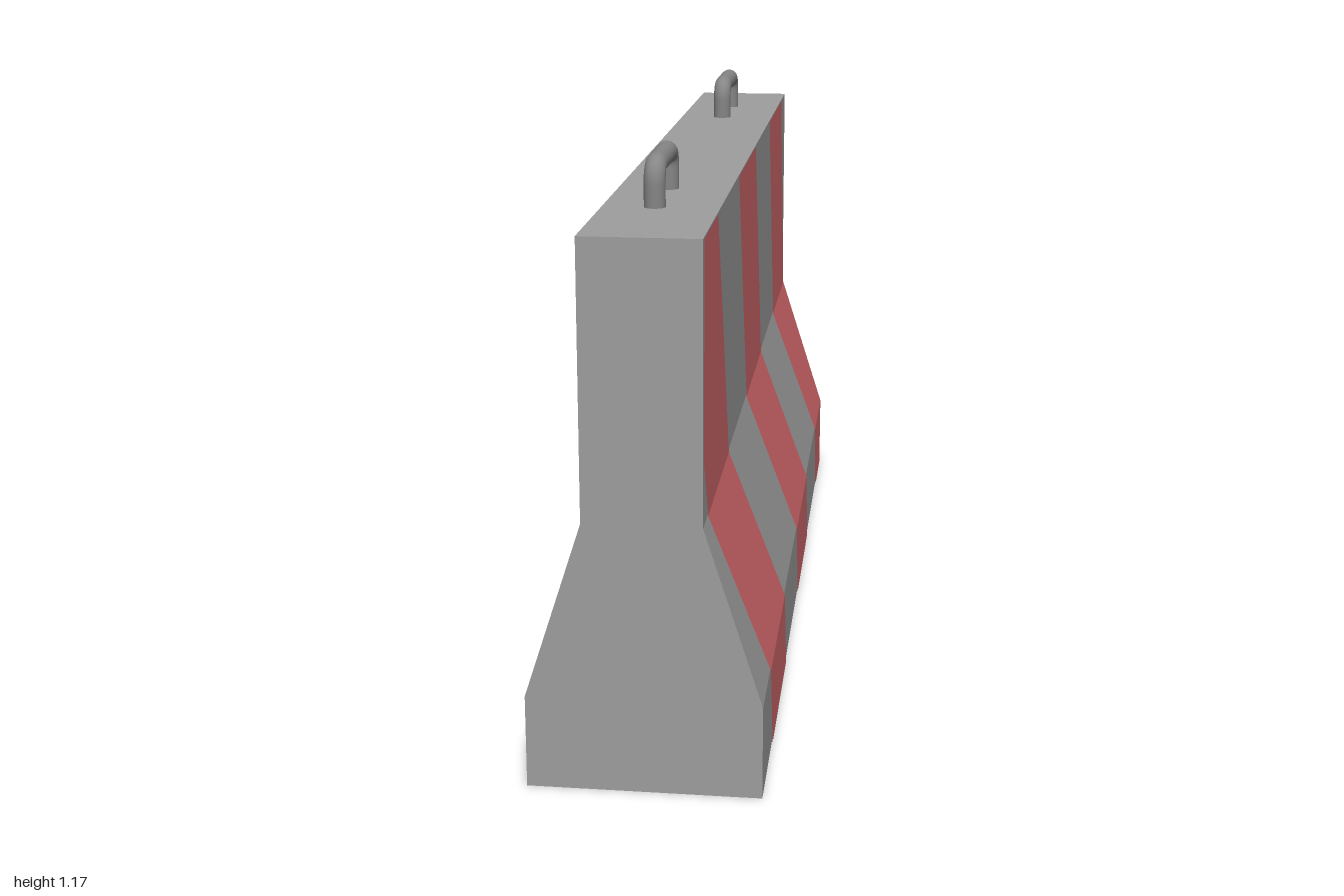
import * as THREE from 'three';

const concrete = new THREE.MeshStandardMaterial({ name: 'concreteGrey', color: 0x9e9e9e });
const red = new THREE.MeshStandardMaterial({ name: 'stripeRed', color: 0xd4696d });
const steel = new THREE.MeshStandardMaterial({ name: 'handleGrey', color: 0x868686 });

const HALF_LENGTH = 1;
const TOP = 1.07;

// Barrier cross-section, right half from bottom to top: [x, y]
const PROFILE = [[0.225, 0], [0.225, 0.185], [0.113, 0.535], [0.113, TOP]];

// Stripe edges along z at each height: { x, y, six edges from front to back }
const ROWS = [
  { x: 0.225, y: 0, z: [0.775, 0.39, -0.005, -0.39, -0.783, -1.17] },
  { x: 0.225, y: 0.185, z: [0.837, 0.456, 0.058, -0.323, -0.72, -1.1] },
  { x: 0.113, y: 0.535, z: [0.933, 0.553, 0.155, -0.235, -0.622, -1.005] },
  { x: 0.113, y: 0.655, z: [1, 0.6, 0.2, -0.192, -0.582, -0.967] },
  { x: 0.113, y: TOP, z: [1.17, 0.77, 0.357, -0.044, -0.444, -0.843] },
];

function makeBody() {
  const mirrored = PROFILE.map(([x, y]) => [-x, y]).reverse();
  const shape = new THREE.Shape([...PROFILE, ...mirrored].map(([x, y]) => new THREE.Vector2(x, y)));
  const geometry = new THREE.ExtrudeGeometry(shape, { depth: 2 * HALF_LENGTH, bevelEnabled: false });
  geometry.translate(0, 0, -HALF_LENGTH);
  const body = new THREE.Mesh(geometry, concrete);
  body.name = 'barrierBody';
  return body;
}

// One painted band that follows the folds of the side
function makeStripe(index) {
  const corner = (row, edge) => [
    row.x + 0.002,
    row.y,
    THREE.MathUtils.clamp(row.z[edge], -HALF_LENGTH, HALF_LENGTH),
  ];
  const positions = [];
  for (let i = 0; i < ROWS.length - 1; i++) {
    const a = corner(ROWS[i], index * 2);
    const b = corner(ROWS[i], index * 2 + 1);
    const c = corner(ROWS[i + 1], index * 2 + 1);
    const d = corner(ROWS[i + 1], index * 2);
    positions.push(...a, ...b, ...c, ...a, ...c, ...d);
  }
  const geometry = new THREE.BufferGeometry();
  geometry.setAttribute('position', new THREE.Float32BufferAttribute(positions, 3));
  geometry.computeVertexNormals();
  const stripe = new THREE.Mesh(geometry, red);
  stripe.name = 'stripe';
  return stripe;
}

// Bent-bar lifting handle with rounded corners
function makeHandle(z) {
  const reach = 0.101, bend = 0.035, base = TOP - 0.01, high = 1.149;
  const v = (y, dz) => new THREE.Vector3(0, y, dz);
  const path = new THREE.CurvePath();
  path.add(new THREE.LineCurve3(v(base, -reach), v(high - bend, -reach)));
  path.add(new THREE.QuadraticBezierCurve3(v(high - bend, -reach), v(high, -reach), v(high, -reach + bend)));
  path.add(new THREE.LineCurve3(v(high, -reach + bend), v(high, reach - bend)));
  path.add(new THREE.QuadraticBezierCurve3(v(high, reach - bend), v(high, reach), v(high - bend, reach)));
  path.add(new THREE.LineCurve3(v(high - bend, reach), v(base, reach)));
  const handle = new THREE.Mesh(new THREE.TubeGeometry(path, 48, 0.021, 16), steel);
  handle.name = 'liftingHandle';
  handle.position.set(-0.012, 0, z);
  return handle;
}

export function createModel() {
  const model = new THREE.Group();
  model.name = 'roadBarrier';
  model.add(makeBody());

  // Same stripes on both sides, turned half way round
  for (const [name, turn] of [['leftStripes', 0], ['rightStripes', Math.PI]]) {
    const side = new THREE.Group();
    side.name = name;
    side.rotation.y = turn;
    for (let i = 0; i < 3; i++) side.add(makeStripe(i));
    model.add(side);
  }

  for (const z of [0.61, -0.625]) model.add(makeHandle(z));
  return model;
}
